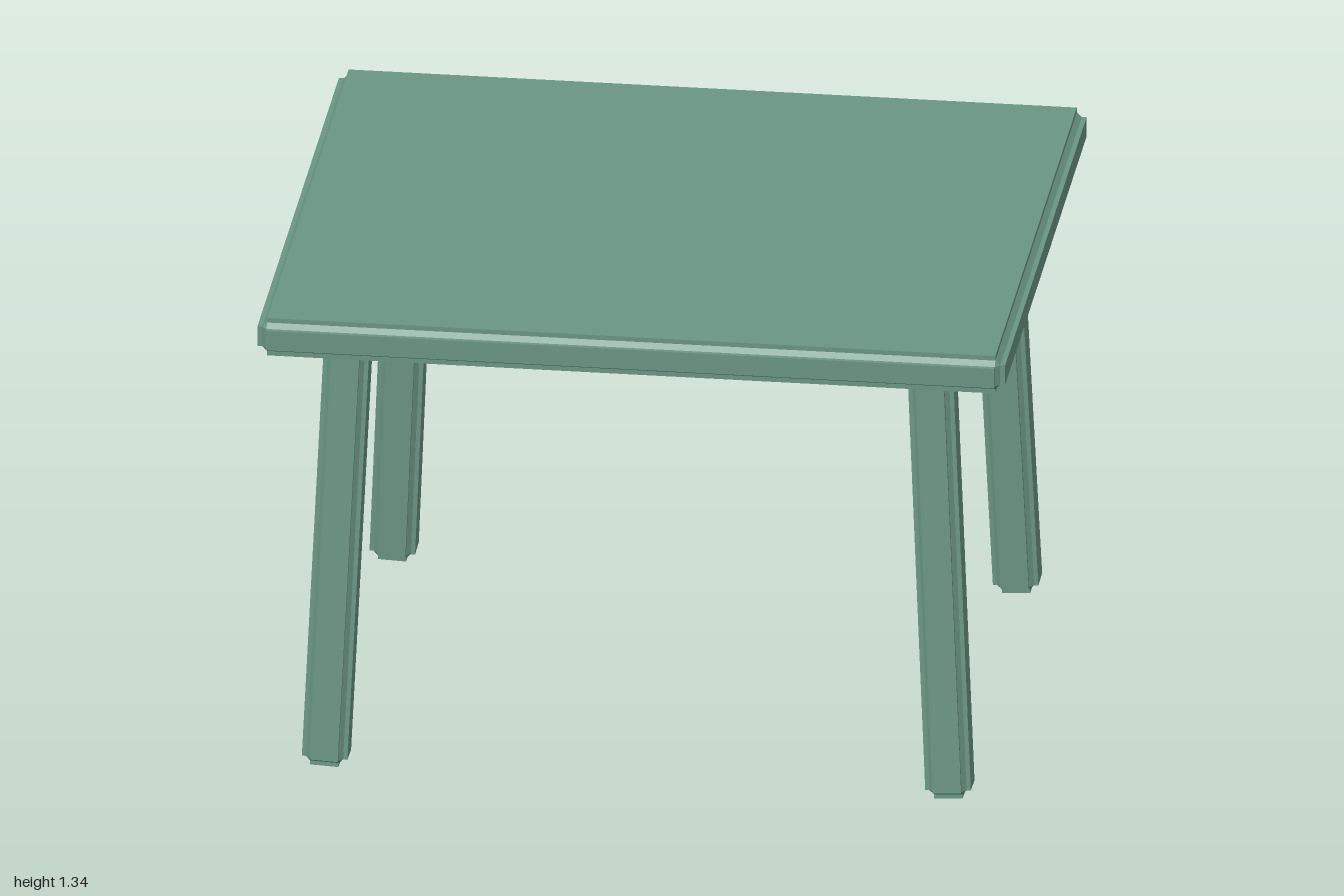
import * as THREE from 'three';
import { mergeGeometries } from 'three/addons/utils/BufferGeometryUtils.js';
import { ConvexGeometry } from 'three/addons/geometries/ConvexGeometry.js';

// Box with a stepped rebate of depth b along every edge and a small chamfer inside each step
function steppedBox(w, h, d, b) {
  const half = [w / 2, h / 2, d / 2];
  const parts = [];
  const points = [];
  for (let axis = 0; axis < 3; axis++) {
    // plate that reaches full size along one axis only
    const size = half.map((s, i) => 2 * (i === axis ? s : s - b));
    parts.push(new THREE.BoxGeometry(...size).toNonIndexed());
    // corners of the chamfered core
    const c = half.map((s, i) => (i === axis ? s - 0.5 * b : s - b));
    for (const sx of [-1, 1])
      for (const sy of [-1, 1])
        for (const sz of [-1, 1])
          points.push(new THREE.Vector3(sx * c[0], sy * c[1], sz * c[2]));
  }
  parts.push(new ConvexGeometry(points));
  for (const p of parts) p.deleteAttribute('uv');
  return mergeGeometries(parts);
}

export function createModel() {
  const group = new THREE.Group();
  group.name = 'table';
  const material = new THREE.MeshStandardMaterial({ color: 0x6a9582, flatShading: true });

  // table top
  const top = new THREE.Mesh(steppedBox(2, 0.108, 1.716, 0.026), material);
  top.name = 'tableTop';
  top.position.y = 1.284;
  group.add(top);

  // four legs splayed outwards
  const legGeometry = steppedBox(0.122, 1.235, 0.122, 0.023);
  for (const sx of [-1, 1]) {
    for (const sz of [-1, 1]) {
      const leg = new THREE.Mesh(legGeometry, material);
      leg.name = (sz > 0 ? 'front' : 'back') + (sx > 0 ? 'Left' : 'Right') + 'Leg';
      leg.position.set(sx * 0.807, 0.621, sz * 0.667);
      leg.rotation.set(-sz * 0.039, 0, sx * 0.045);
      group.add(leg);
    }
  }
  return group;
}
